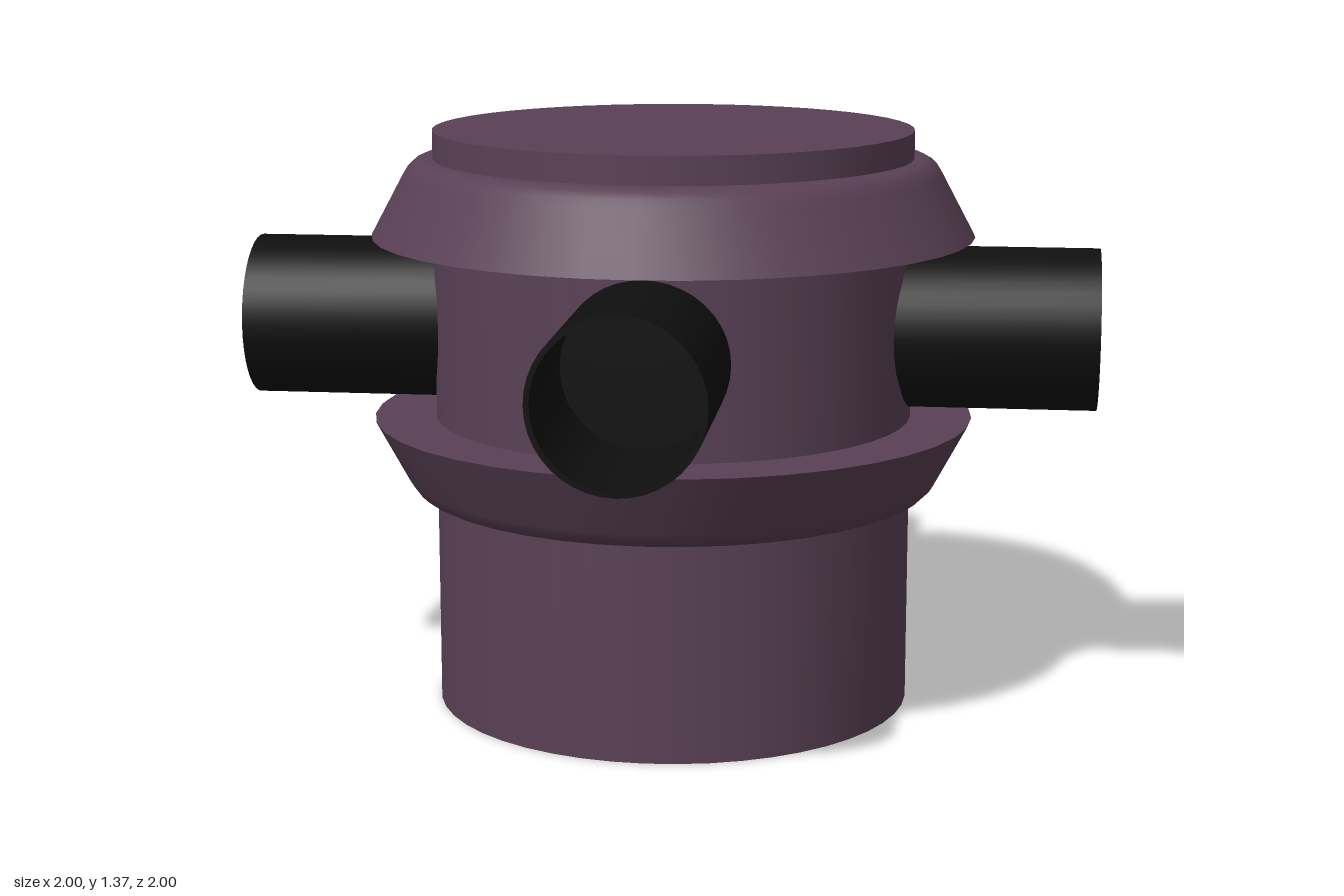
import * as THREE from 'three';
import { toCreasedNormals } from 'three/addons/utils/BufferGeometryUtils.js';

export function createModel() {
  const model = new THREE.Group();
  const plum = new THREE.MeshStandardMaterial({ name: 'plum', color: 0x5a4156 });
  const black = new THREE.MeshStandardMaterial({ name: 'black', color: 0x0f0f0f });

  const add = (parent, name, geometry, material) => {
    const mesh = new THREE.Mesh(geometry, material);
    mesh.name = name;
    parent.add(mesh);
    return mesh;
  };

  // Central drum, full height
  add(model, 'drum', new THREE.CylinderGeometry(0.565, 0.565, 1.37, 48), plum).position.y = 0.685;

  // Flared collars: flat on the wide side, rounded shoulder on the narrow side
  const collarProfile = [
    [0.54, 0], [0.71, 0], [0.634, 0.142], [0.623, 0.16],
    [0.61, 0.173], [0.595, 0.18], [0.575, 0.182], [0.54, 0.182],
  ].map(([r, y]) => new THREE.Vector2(r, y));
  const collar = toCreasedNormals(new THREE.LatheGeometry(collarProfile, 40), 0.6);
  add(model, 'upperCollar', collar, plum).position.y = 1.123;
  const lower = add(model, 'lowerCollar', collar, plum);
  lower.position.y = 0.692;
  lower.rotation.x = Math.PI;

  // Hollow pipe pointing along +z: outer wall, rim, bore and bore floor
  const pipeProfile = [
    [0, 0.6], [0.178, 0.6], [0.178, 1], [0.19, 1], [0.19, 0.45],
  ].map(([r, y]) => new THREE.Vector2(r, y)).reverse();
  const pipe = toCreasedNormals(new THREE.LatheGeometry(pipeProfile, 40), 0.6);
  pipe.rotateX(Math.PI / 2);

  // Four pipes around the drum
  ['frontPipe', 'leftPipe', 'backPipe', 'rightPipe'].forEach((name, i) => {
    const mesh = add(model, name, pipe, black);
    mesh.position.y = 0.91;
    mesh.rotation.y = i * Math.PI / 2;
  });

  return model;
}
